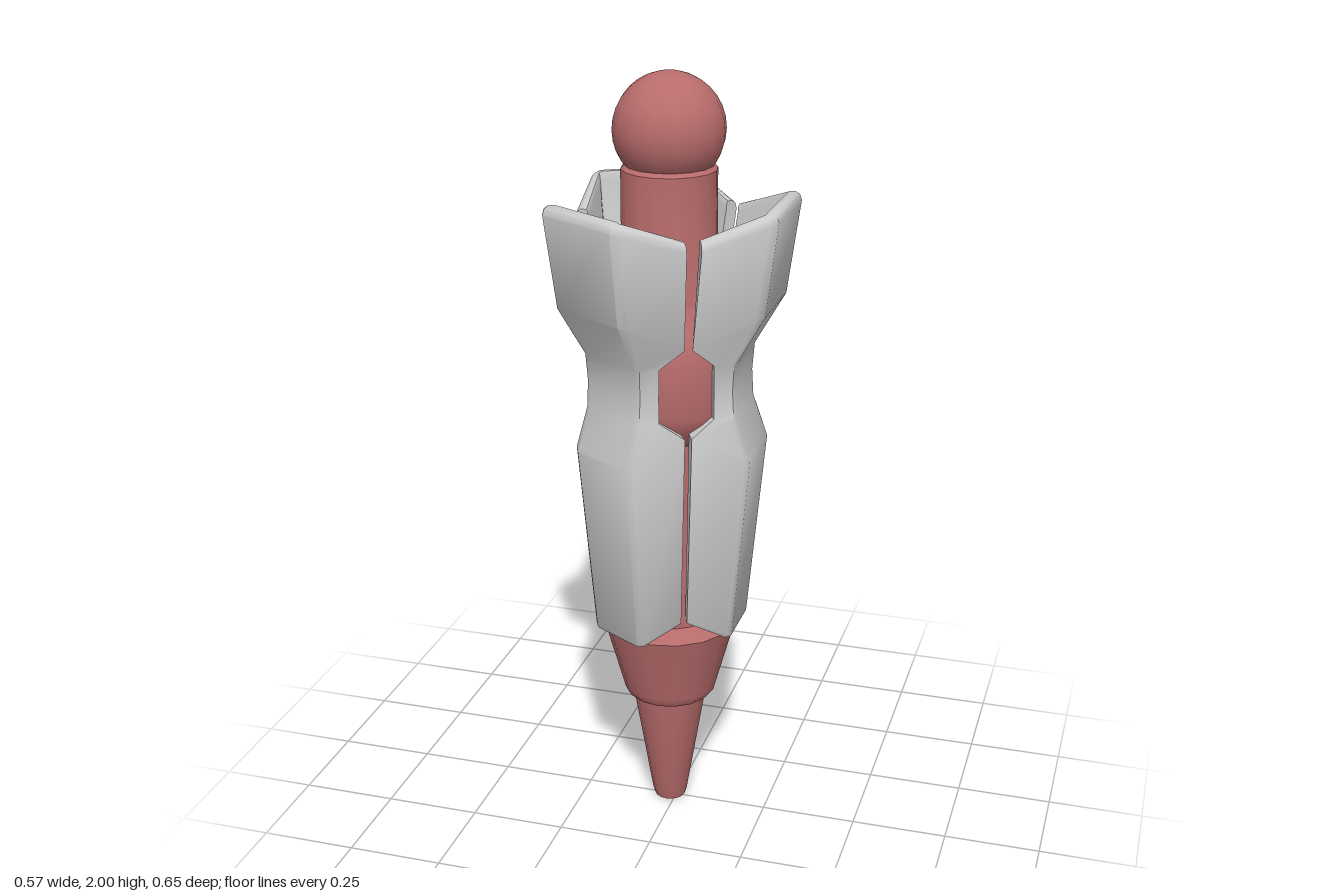
import * as THREE from 'three';
import { toCreasedNormals } from 'three/addons/utils/BufferGeometryUtils.js';

const AXIS_X = -0.017;
const WALL = 0.035;

// Panel stations: corner height, face distance, face half width, edge x, edge z, edge height
const STATIONS = [
  [0.55, 0.19, 0.088, 0.085, 0.132, 0.6],
  [1.06, 0.236, 0.1, 0.107, 0.168, 1.13],
  [1.17, 0.199, 0.094, 0.15, 0.12, 1.17],
  [1.24, 0.195, 0.094, 0.15, 0.12, 1.24],
  [1.31, 0.2, 0.097, 0.15, 0.122, 1.31],
  [1.44, 0.273, 0.122, 0.108, 0.167, 1.36],
  [1.7, 0.305, 0.132, 0.142, 0.21, 1.64],
];

// Closed cross-section of a folded panel: outer side, then back along the inner side
function panelLoop([y, a, hw, ex, ez, ey], inset = 0, dy = 0) {
  const len = Math.hypot(a - ex, ez - hw);
  const nx = -(ez - hw) / len, nz = -(a - ex) / len; // inward across the flank
  const along = t => [a + (ex - a) * t, hw + (ez - hw) * t];
  const [bx, bz] = along(0.1);
  const outer = [
    [ex, ez, ey],
    [bx, bz, y + (ey - y) * 0.1],
    [a, hw - 0.012, y],
  ];
  const inner = [
    [ex + nx * WALL, ez + nz * WALL, ey],
    [a - WALL, hw - 0.014, y + (ey - y) * 0.05],
    [a - WALL, hw - 0.022, y],
  ];
  const blend = (p, q, t) => p.map((v, i) => v + (q[i] - v) * t);
  const o = outer.map((p, i) => blend(p, inner[i], inset));
  const n = inner.map((p, i) => blend(p, outer[i], inset * 0.3));
  const mirror = p => [p[0], -p[1], p[2]];
  const loop = [...o.map(mirror), ...[...o].reverse(), ...n, ...[...n].reverse().map(mirror)];
  return loop.map(p => [p[0], p[2] + dy, p[1]]);
}

function panelGeometry() {
  const first = STATIONS[0], last = STATIONS[STATIONS.length - 1];
  const rows = [
    panelLoop(first, 0.15),
    panelLoop(first, 0, 0.008),
    ...STATIONS.slice(1, -1).map(s => panelLoop(s)),
    panelLoop(last, 0, -0.022),
    panelLoop(last, 0.15, -0.007),
    panelLoop(last, 0.45),
  ];
  const n = rows[0].length;
  const index = [];
  for (let i = 0; i < rows.length - 1; i++) {
    for (let j = 0; j < n; j++) {
      const a = i * n + j, b = i * n + (j + 1) % n;
      index.push(a, a + n, b, b, a + n, b + n);
    }
  }
  // Rims closing the wall thickness at the bottom and top
  const top = (rows.length - 1) * n;
  for (let j = 0; j < n / 2 - 1; j++) {
    const o = j, p = j + 1, q = n - 2 - j, r = n - 1 - j;
    index.push(o, p, q, o, q, r);
    index.push(top + o, top + q, top + p, top + o, top + r, top + q);
  }
  const g = new THREE.BufferGeometry();
  g.setAttribute('position', new THREE.Float32BufferAttribute(rows.flat(2), 3));
  g.setIndex(index);
  return toCreasedNormals(g, 0.7);
}

function lathe(points, sides = 16) {
  const g = new THREE.LatheGeometry(points.map(([r, y]) => new THREE.Vector2(r, y)), sides);
  return toCreasedNormals(g, 0.6);
}

export function createModel() {
  const model = new THREE.Group();
  model.name = 'panelledSpike';
  const grey = new THREE.MeshStandardMaterial({ color: 0xcccccc });
  const red = new THREE.MeshStandardMaterial({ color: 0xb96c6c });

  const body = new THREE.Group();
  body.name = 'body';
  body.position.x = AXIS_X;
  model.add(body);
  const add = (name, geometry, material) => {
    const mesh = new THREE.Mesh(geometry, material);
    mesh.name = name;
    body.add(mesh);
    return mesh;
  };

  // Pointed foot with a stepped collar
  add('tip', lathe([[0, 0], [0.03, 0], [0.041, 0.006], [0.047, 0.025], [0.1, 0.345]]), red);
  add('lowerCone', lathe([[0, 0.335], [0.112, 0.335], [0.121, 0.345], [0.125, 0.36],
    [0.177, 0.55], [0.12, 0.57]]), red);

  // Shaft with a wider ring behind the openings
  add('shaft', lathe([[0.12, 0.55], [0.12, 1.08], [0.165, 1.13], [0.177, 1.17], [0.177, 1.31],
    [0.165, 1.36], [0.12, 1.44], [0.12, 1.765], [0.11, 1.775], [0, 1.775]]), red);

  // Ball on top
  const ball = add('ball', new THREE.SphereGeometry(0.14, 16, 16), red);
  ball.position.y = 1.86;

  // Three folded outer panels
  const geometry = panelGeometry();
  for (let k = 0; k < 3; k++) {
    add('outerPanel', geometry, grey).rotation.y = (k * Math.PI * 2) / 3;
  }
  return model;
}
